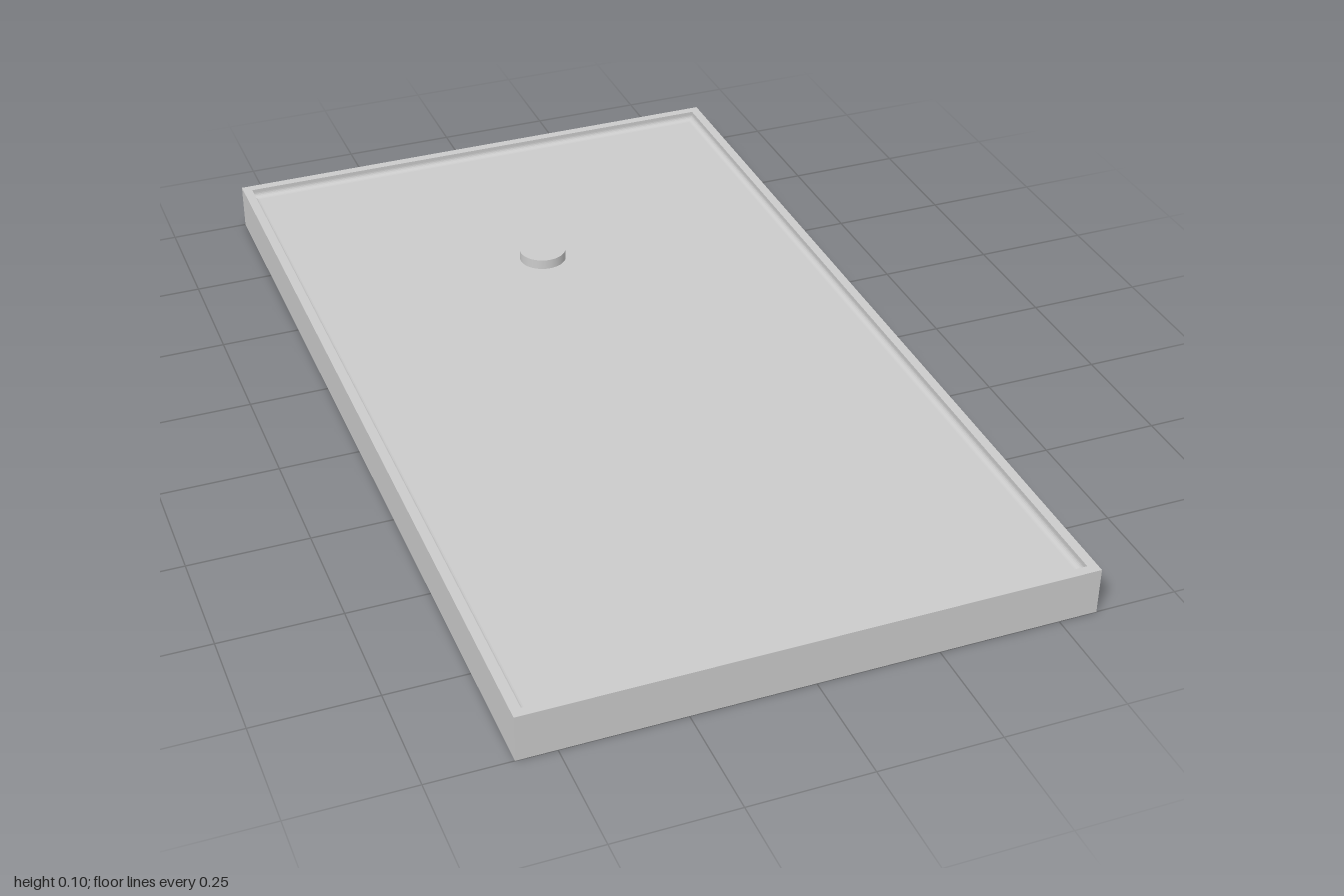
import * as THREE from 'three';

const material = new THREE.MeshStandardMaterial({ color: 0xcccccc });

// Closed shell from stacked rectangular rings: [half width, height, half length]
function shellFromRings(rings) {
  const positions = [], index = [];
  for (const [x, y, z] of rings) positions.push(-x, y, z, x, y, z, x, y, -z, -x, y, -z);
  for (let i = 0; i < rings.length - 1; i++) {
    for (let k = 0; k < 4; k++) {
      const a = i * 4 + k, b = i * 4 + (k + 1) % 4;
      index.push(a, b, b + 4, a, b + 4, a + 4);
    }
  }
  const e = (rings.length - 1) * 4;
  index.push(0, 2, 1, 0, 3, 2, e, e + 1, e + 2, e, e + 2, e + 3);
  const g = new THREE.BufferGeometry();
  g.setAttribute('position', new THREE.Float32BufferAttribute(positions, 3));
  g.setIndex(index);
  const flat = g.toNonIndexed();
  flat.computeVertexNormals();
  return flat;
}

export function createModel() {
  const group = new THREE.Group();
  group.name = 'showerTray';

  const W = 0.58, L = 1, H = 0.1;
  const rim = 0.02, floorY = 0.08, cove = 0.012;

  // Tray: outer walls, narrow rim, then a rounded cove down to the floor
  const rings = [[W, 0, L], [W, H, L], [W - rim, H, L - rim]];
  const steps = 6;
  for (let i = 0; i <= steps; i++) {
    const t = (i / steps) * Math.PI / 2;
    const inset = rim + cove * (1 - Math.cos(t));
    rings.push([W - inset, floorY + cove * (1 - Math.sin(t)), L - inset]);
  }
  const tray = new THREE.Mesh(shellFromRings(rings), material);
  tray.name = 'tray';
  group.add(tray);

  // Round drain cover standing on the floor
  const top = 0.102;
  const drain = new THREE.Mesh(new THREE.CylinderGeometry(0.052, 0.052, top - floorY, 48), material);
  drain.name = 'drainCover';
  drain.position.set(-0.01, (top + floorY) / 2, -0.478);
  group.add(drain);

  return group;
}
